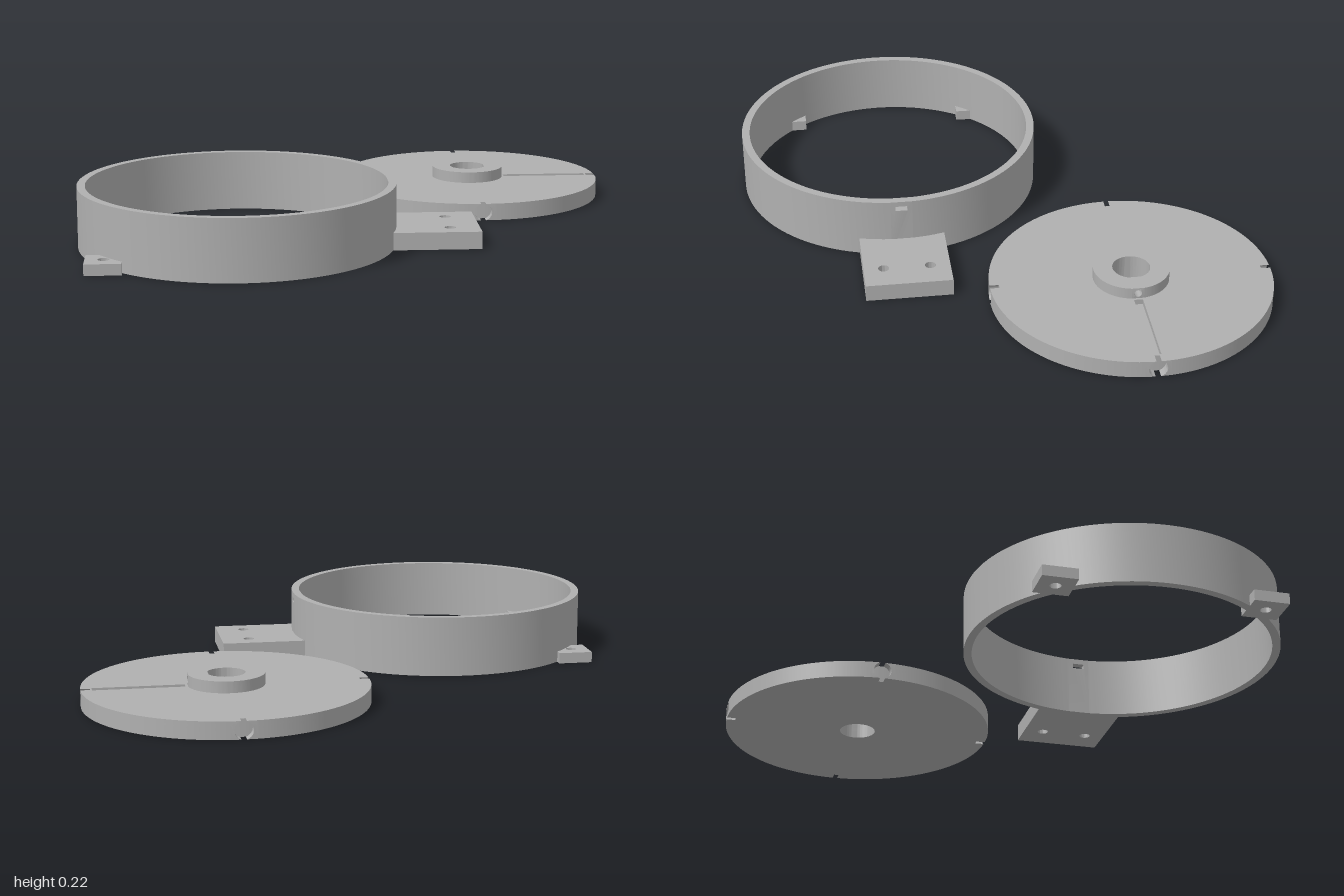
import * as THREE from 'three';
import { toCreasedNormals } from 'three/addons/utils/BufferGeometryUtils.js';

const grey = new THREE.MeshStandardMaterial({ color: 0xb0b0b0 });
grey.name = 'plainGrey';

function addMesh(parent, name, geometry, y = 0) {
  const mesh = new THREE.Mesh(toCreasedNormals(geometry, 0.5), grey);
  mesh.name = name;
  mesh.position.y = y;
  parent.add(mesh);
  return mesh;
}

// Plan outline raised upward from the ground plane
function slab(shape, height) {
  const g = new THREE.ExtrudeGeometry(shape, { depth: height, bevelEnabled: false, curveSegments: 64 });
  return g.rotateX(-Math.PI / 2);
}

function circle(x, y, r) {
  return new THREE.Path().absarc(x, y, r, 0, Math.PI * 2, false);
}

function polygon(points, Type = THREE.Shape) {
  return new Type(points.map(([x, y]) => new THREE.Vector2(x, y)));
}

function rect(x0, y0, x1, y1, Type) {
  return polygon([[x0, y0], [x1, y0], [x1, y1], [x0, y1]], Type);
}

// Ring outline with a parallel-sided gap of half width w facing +x
function gappedRing(rIn, rOut, w) {
  const a = Math.asin(w / rOut), b = Math.asin(w / rIn);
  const s = new THREE.Shape();
  s.absarc(0, 0, rOut, a, Math.PI * 2 - a, false);
  s.absarc(0, 0, rIn, Math.PI * 2 - b, b, true);
  s.closePath();
  return s;
}

// Upright outline extruded radially toward +x and curved to fit a wall
function wallPatch(shapes, rIn, rOut) {
  const g = new THREE.ExtrudeGeometry(shapes, { depth: 1, bevelEnabled: false, curveSegments: 24 });
  const p = g.attributes.position;
  for (let i = 0; i < p.count; i++) {
    const side = p.getX(i), r = rIn + (rOut - rIn) * p.getZ(i);
    p.setXYZ(i, Math.sqrt(r * r - side * side), p.getY(i), -side);
  }
  g.computeVertexNormals();
  return g;
}

function createHousing() {
  const group = new THREE.Group();
  group.name = 'ringHousing';
  const rOut = 0.567, rIn = 0.5375, h = 0.222;

  // Wall, closed by a patch holding the slot
  const w = 0.04;
  addMesh(group, 'ringWall', slab(gappedRing(rIn, rOut, w), h));
  const patch = rect(-w, 0, w, h);
  patch.holes.push(rect(-0.022, 0.185, 0.022, 0.203, THREE.Path));
  addMesh(group, 'slottedWall', wallPatch(patch, rIn, rOut));

  // Mounting plate with two screw holes
  const half = 0.158, r = 0.555, a = Math.asin(half / r);
  const plate = new THREE.Shape();
  plate.absarc(0, 0, r, -a, a, false);
  plate.lineTo(0.86, half);
  plate.lineTo(0.86, -half);
  plate.closePath();
  for (const s of [-1, 1]) plate.holes.push(circle(0.754, s * 0.085, 0.02));
  addMesh(group, 'mountingPlate', slab(plate, 0.063));

  // Two small screw tabs
  for (const s of [-1, 1]) {
    const tab = rect(-0.064, -0.064, 0.064, 0.064);
    tab.holes.push(circle(0, 0, 0.02));
    addMesh(group, 'screwTab', slab(tab, 0.04)).position.set(-0.457, 0, s * 0.374);
  }
  return group;
}

function createDisc() {
  const group = new THREE.Group();
  group.name = 'disc';
  const R = 0.511, h = 0.063, depth = 0.034, bore = 0.068, w = 0.045;
  const ri = R - depth, a = Math.asin(w / R), b = Math.asin(w / ri), q = Math.PI / 2;

  // Body in two layers, the upper one with the radial groove
  const body = () => {
    const s = new THREE.Shape();
    for (let k = 0; k < 4; k++) {
      s.absarc(0, 0, R, k * q + a, (k + 1) * q - a, false);
      s.absarc(0, 0, ri, (k + 1) * q - b, (k + 1) * q + b, false);
    }
    s.closePath();
    s.holes.push(circle(0, 0, bore));
    return s;
  };
  const grooveDepth = 0.02;
  addMesh(group, 'discBase', slab(body(), h - grooveDepth));
  const top = body();
  top.holes.push(rect(0.145, -0.016, 0.471, 0.016, THREE.Path));
  addMesh(group, 'discTop', slab(top, grooveDepth), h - grooveDepth);

  // Round pockets around the rim that just break through both faces
  const r = 0.0328, t = Math.asin(h / 2 / r);
  const sides = [1, -1].map((s) => {
    const shape = new THREE.Shape();
    if (s > 0) shape.absarc(0, h / 2, r, t, -t, true);
    else shape.absarc(0, h / 2, r, Math.PI - t, Math.PI + t, false);
    shape.lineTo(s * w, 0);
    shape.lineTo(s * w, h);
    shape.closePath();
    return shape;
  });
  for (let k = 0; k < 4; k++) {
    addMesh(group, 'rimPocket', wallPatch(sides, ri, R)).rotation.y = k * q;
  }

  // Hub with a radial hole above the groove
  const hubR = 0.1375, hubH = 0.042, hw = 0.022;
  addMesh(group, 'hub', slab(gappedRing(bore, hubR, hw), hubH), h);
  const patch = rect(-hw, 0, hw, hubH);
  patch.holes.push(circle(0, hubH / 2, 0.014));
  addMesh(group, 'hubHole', wallPatch(patch, bore, hubR), h);
  return group;
}

export function createModel() {
  const model = new THREE.Group();
  model.name = 'ringAndDisc';
  const housing = createHousing();
  housing.position.set(-0.433, 0, 0.367);
  const disc = createDisc();
  disc.position.set(0.489, 0, -0.424);
  model.add(housing, disc);
  return model;
}
